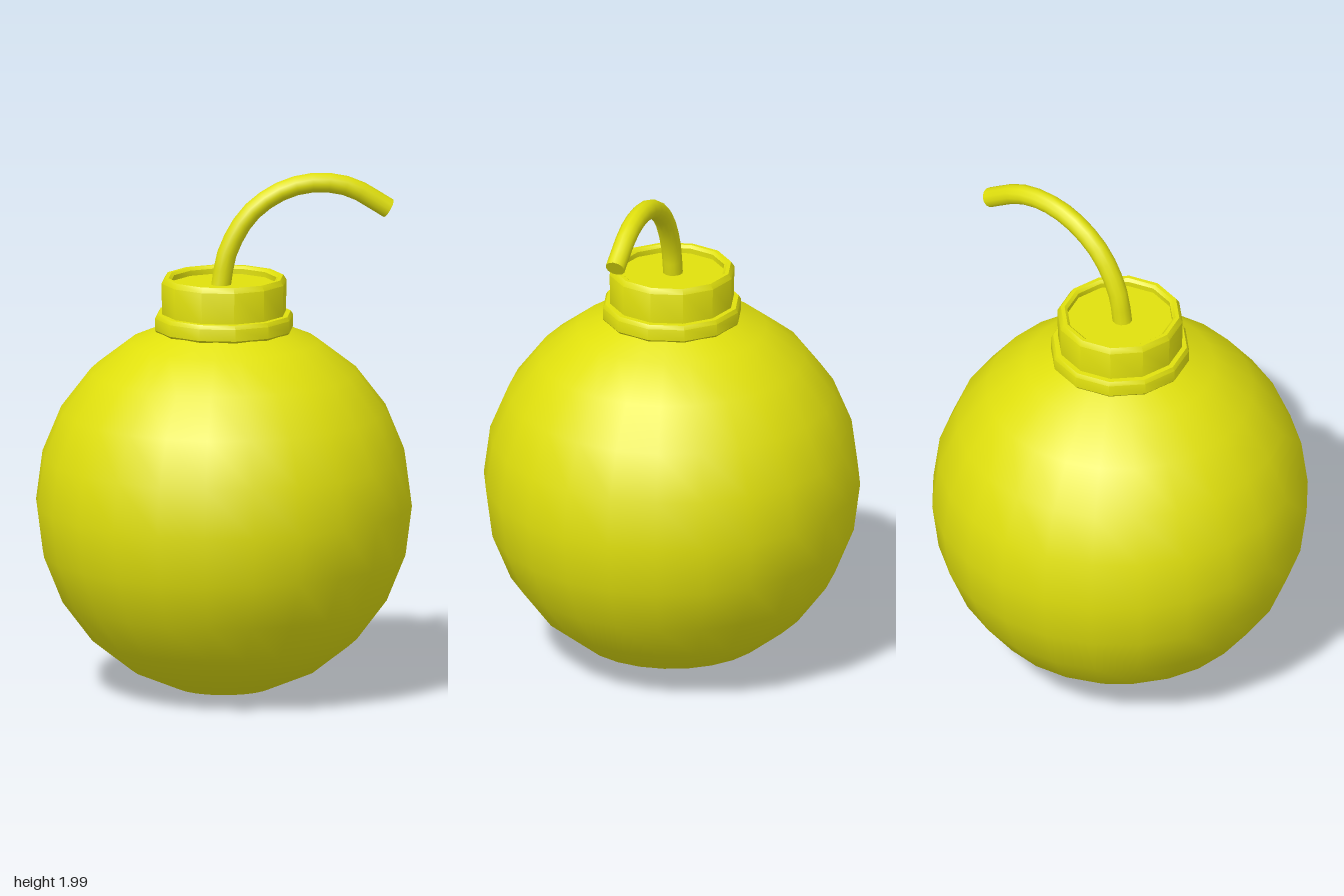
import * as THREE from 'three';
import { toCreasedNormals } from 'three/addons/utils/BufferGeometryUtils.js';

const yellow = new THREE.MeshStandardMaterial({ color: 0xe0e00d });
yellow.name = 'yellow';

const v2 = ([r, y]) => new THREE.Vector2(r, y);

function addMesh(group, name, geometry) {
  const mesh = new THREE.Mesh(geometry, yellow);
  mesh.name = name;
  group.add(mesh);
  return mesh;
}

export function createModel() {
  const model = new THREE.Group();
  model.name = 'roundBomb';

  // round body: rings every 15 degrees, from the bottom disc up to under the cap
  const R = 0.717, midY = 0.735;
  const rings = [];
  for (let deg = -75; deg <= 75; deg += 15) {
    const a = THREE.MathUtils.degToRad(deg);
    rings.push([R * Math.cos(a), midY + (deg < 0 ? 0.735 : 0.722) * Math.sin(a)]);
  }
  addMesh(model, 'body', new THREE.LatheGeometry(rings.map(v2), 24));

  // shallow disc closing the bottom
  addMesh(model, 'bottomDisc', new THREE.LatheGeometry([[0, 0.005], rings[0]].map(v2), 24));

  // twelve-sided cap parts with sharp profile edges
  const lathe12 = (profile) =>
    toCreasedNormals(new THREE.LatheGeometry(profile.map(v2), 12), THREE.MathUtils.degToRad(36));
  addMesh(model, 'collar', lathe12([
    [0.18, 1.40], [0.258, 1.40], [0.266, 1.41], [0.266, 1.455], [0.257, 1.47], [0.22, 1.472],
  ]));
  addMesh(model, 'cap', lathe12([
    [0.238, 1.46], [0.241, 1.59], [0.228, 1.61], [0.213, 1.61], [0.202, 1.60], [0.202, 1.58],
  ]));
  const capFloor = addMesh(model, 'capFloor', new THREE.CircleGeometry(0.203, 12));
  capFloor.rotation.x = -Math.PI / 2;
  capFloor.position.y = 1.58;

  // bent fuse
  const path = new THREE.CatmullRomCurve3([
    [-0.012, 1.57], [0.012, 1.70], [0.095, 1.845], [0.22, 1.933],
    [0.35, 1.962], [0.485, 1.941], [0.633, 1.853],
  ].map(([x, y]) => new THREE.Vector3(x, y, 0)));
  const fuseRadius = 0.038;
  addMesh(model, 'fuse', new THREE.TubeGeometry(path, 14, fuseRadius, 12, false));

  // flat end of the fuse
  const fuseEnd = addMesh(model, 'fuseEnd', new THREE.CircleGeometry(fuseRadius, 12));
  fuseEnd.position.copy(path.getPointAt(1));
  fuseEnd.quaternion.setFromUnitVectors(new THREE.Vector3(0, 0, 1), path.getTangentAt(1));

  return model;
}
